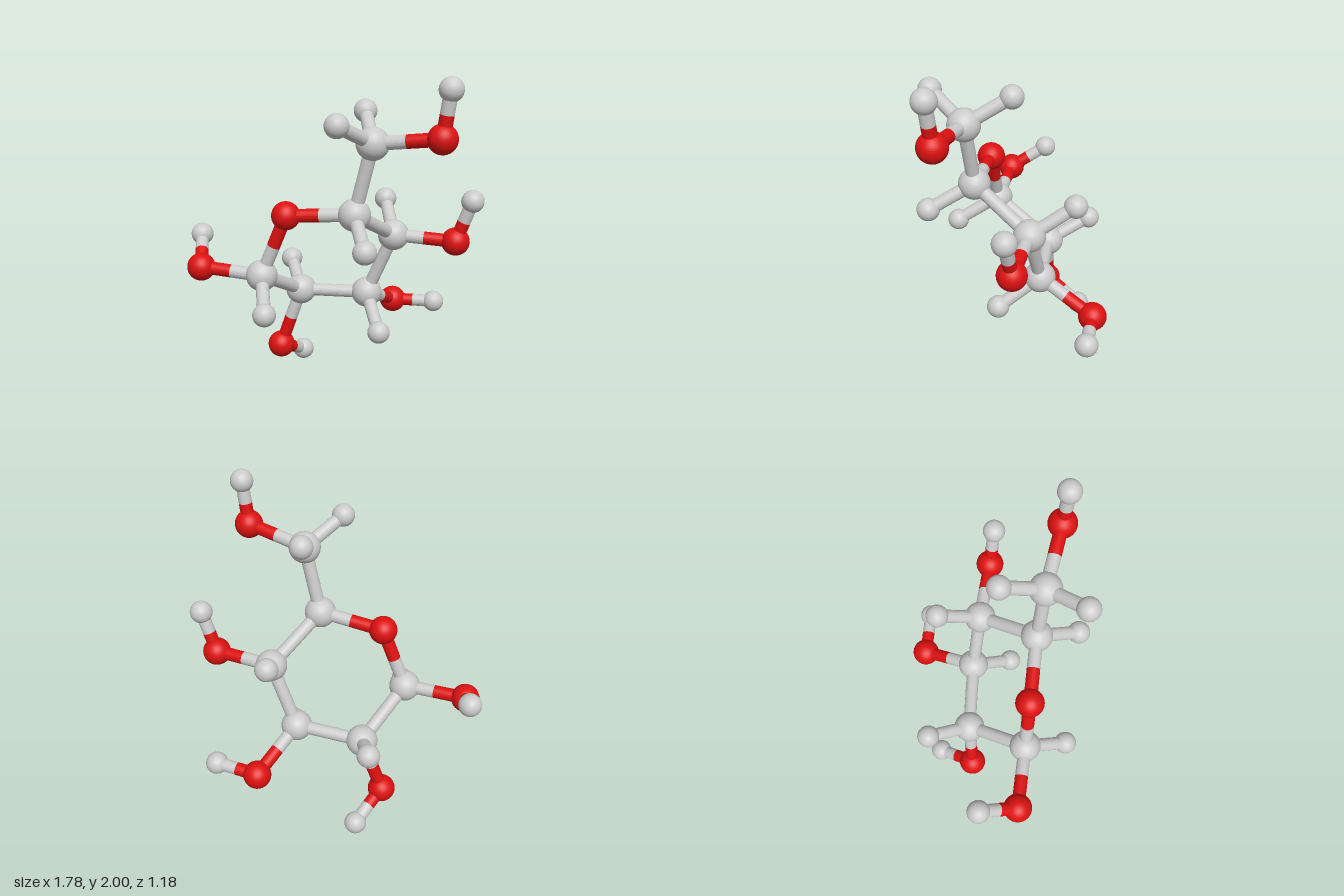
import * as THREE from 'three';

const grey = new THREE.MeshStandardMaterial({ color: 0xcccccc, flatShading: true });
const red = new THREE.MeshStandardMaterial({ color: 0xdd1111, flatShading: true });

// Ball radius and material for each element
const elements = {
  C: { label: 'carbon', radius: 0.096, material: grey },
  O: { label: 'oxygen', radius: 0.086, material: red },
  H: { label: 'hydrogen', radius: 0.069, material: grey },
};
const BOND_RADIUS = 0.04;

// Atom centres; the first letter of each key is its element
const atoms = {
  // six-membered ring
  C1: [-0.44, 0.785, 0.05],
  C2: [-0.18, 0.585, -0.25],
  C3: [0.23, 0.59, -0.13],
  C4: [0.38, 0.99, -0.04],
  C5: [0.095, 1.195, 0.245],
  O5: [-0.293, 1.167, 0.105],
  // side arm
  C6: [0.187, 1.617, 0.302],
  // hydroxyl groups
  O1: [-0.805, 0.81, -0.088],
  HO1: [-0.8, 0.955, -0.325],
  O2: [-0.312, 0.198, -0.273],
  HO2: [-0.152, 0.076, -0.462],
  O3: [0.455, 0.43, -0.417],
  HO3: [0.715, 0.434, -0.327],
  O4: [0.735, 0.976, 0.107],
  HO4: [0.818, 1.235, 0.156],
  O6: [0.538, 1.665, 0.488],
  HO6: [0.569, 1.934, 0.517],
  // hydrogens on the carbons
  H1: [-0.439, 0.63, 0.317],
  H2: [-0.219, 0.714, -0.52],
  H3: [0.266, 0.415, 0.132],
  H4: [0.375, 1.16, -0.305],
  H5: [0.114, 1.05, 0.522],
  H6a: [-0.037, 1.744, 0.473],
  H6b: [0.186, 1.768, 0.035],
};

const bonds = [
  'C1-C2', 'C2-C3', 'C3-C4', 'C4-C5', 'C5-O5', 'O5-C1', 'C5-C6',
  'C1-O1', 'C2-O2', 'C3-O3', 'C4-O4', 'C6-O6',
  'O1-HO1', 'O2-HO2', 'O3-HO3', 'O4-HO4', 'O6-HO6',
  'C1-H1', 'C2-H2', 'C3-H3', 'C4-H4', 'C5-H5', 'C6-H6a', 'C6-H6b',
];

const elementOf = (key) => elements[key[0]];
const centreOf = (key) => new THREE.Vector3(...atoms[key]);

// Straight rod from one point to another
function rod(from, to, material, name) {
  const axis = to.clone().sub(from);
  const geometry = new THREE.CylinderGeometry(BOND_RADIUS, BOND_RADIUS, axis.length(), 24);
  const mesh = new THREE.Mesh(geometry, material);
  mesh.position.copy(from).lerp(to, 0.5);
  mesh.quaternion.setFromUnitVectors(new THREE.Vector3(0, 1, 0), axis.normalize());
  mesh.name = name;
  return mesh;
}

export function createModel() {
  const model = new THREE.Group();
  model.name = 'ballAndStickMolecule';

  // Atom balls
  const balls = new THREE.Group();
  balls.name = 'atoms';
  for (const key of Object.keys(atoms)) {
    const { label, radius, material } = elementOf(key);
    const ball = new THREE.Mesh(new THREE.IcosahedronGeometry(radius, 7), material);
    ball.position.copy(centreOf(key));
    ball.name = `${label}Atom ${key}`;
    balls.add(ball);
  }

  // Bonds, each half taking the colour of its own atom
  const sticks = new THREE.Group();
  sticks.name = 'bonds';
  for (const bond of bonds) {
    const [a, b] = bond.split('-');
    const middle = centreOf(a).lerp(centreOf(b), 0.5);
    for (const end of [a, b]) {
      const { label, material } = elementOf(end);
      sticks.add(rod(centreOf(end), middle, material, `${label}HalfBond ${bond}`));
    }
  }

  model.add(balls, sticks);
  return model;
}
